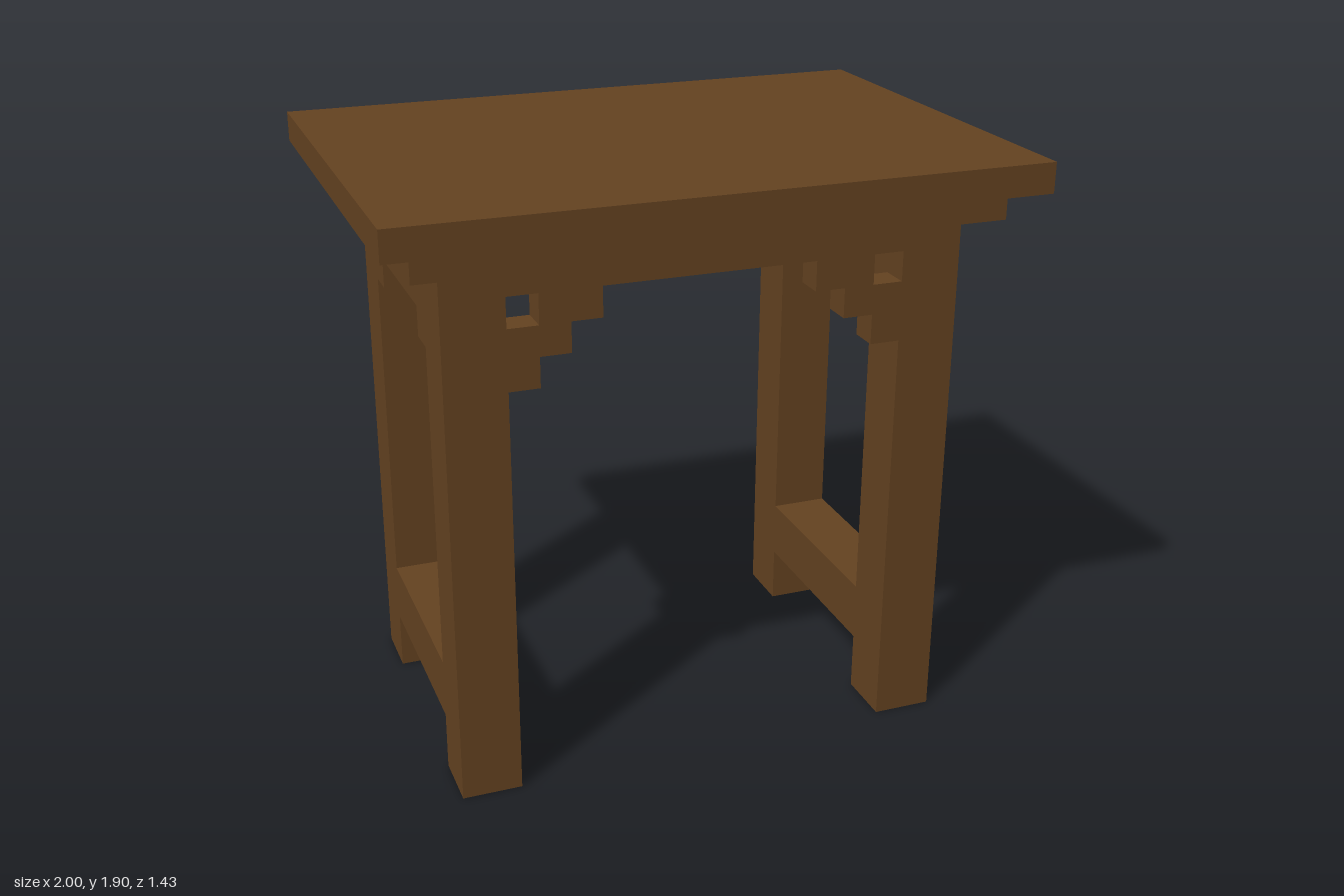
import * as THREE from 'three';

// Every measure is a multiple of one block unit; the top is 21 units long.
const U = 2 / 21;

export function createModel() {
  const table = new THREE.Group();
  table.name = 'table';
  const wood = new THREE.MeshStandardMaterial({ color: 0x654321 });
  wood.name = 'dark brown wood';

  const add = (name, geometry) => {
    const mesh = new THREE.Mesh(geometry, wood);
    mesh.name = name;
    table.add(mesh);
    return mesh;
  };

  // Box with its bottom at y, all in block units
  const box = (name, w, h, d, x, y, z) =>
    add(name, new THREE.BoxGeometry(w * U, h * U, d * U))
      .position.set(x * U, (y + h / 2) * U, z * U);

  // One-unit-thick panel cut from half an outline, mirrored about its middle
  const panel = (name, half) => {
    const points = [...half, ...half.map(([x, y]) => [-x, y]).reverse()];
    const shape = new THREE.Shape(points.map(([x, y]) => new THREE.Vector2(x * U, y * U)));
    const geometry = new THREE.ExtrudeGeometry(shape, { depth: U, bevelEnabled: false });
    geometry.translate(0, 0, -U / 2);
    return add(name, geometry);
  };

  // Stepped table top
  box('tableTop', 21, 1, 15, 0, 19, 0);
  box('topMoulding', 19, 1, 13, 0, 18, 0);

  // Aprons with stepped brackets; the long ones have a square opening by each leg
  const longApron = [[3.5, 17], [3.5, 16], [4.5, 16], [4.5, 15], [5.5, 15], [5.5, 14],
    [6.5, 14], [6.5, 16], [5.5, 16], [5.5, 17], [6.5, 17], [6.5, 18]];
  const sideApron = [[2.5, 16], [2.5, 15], [3.5, 15], [3.5, 18]];

  for (const s of [1, -1]) {
    panel(s > 0 ? 'frontApron' : 'backApron', longApron).position.z = s * 5 * U;

    const side = s > 0 ? 'left' : 'right';
    const apron = panel(side + 'Apron', sideApron);
    apron.rotation.y = Math.PI / 2;
    apron.position.x = s * 8 * U;

    // Low stretcher between the front and back legs
    box(side + 'Stretcher', 2, 2, 7, s * 7.5, 2, 0);
    for (const t of [1, -1]) {
      box(side + (t > 0 ? 'FrontLeg' : 'BackLeg'), 2, 18, 2, s * 7.5, 0, t * 4.5);
    }
  }
  return table;
}
